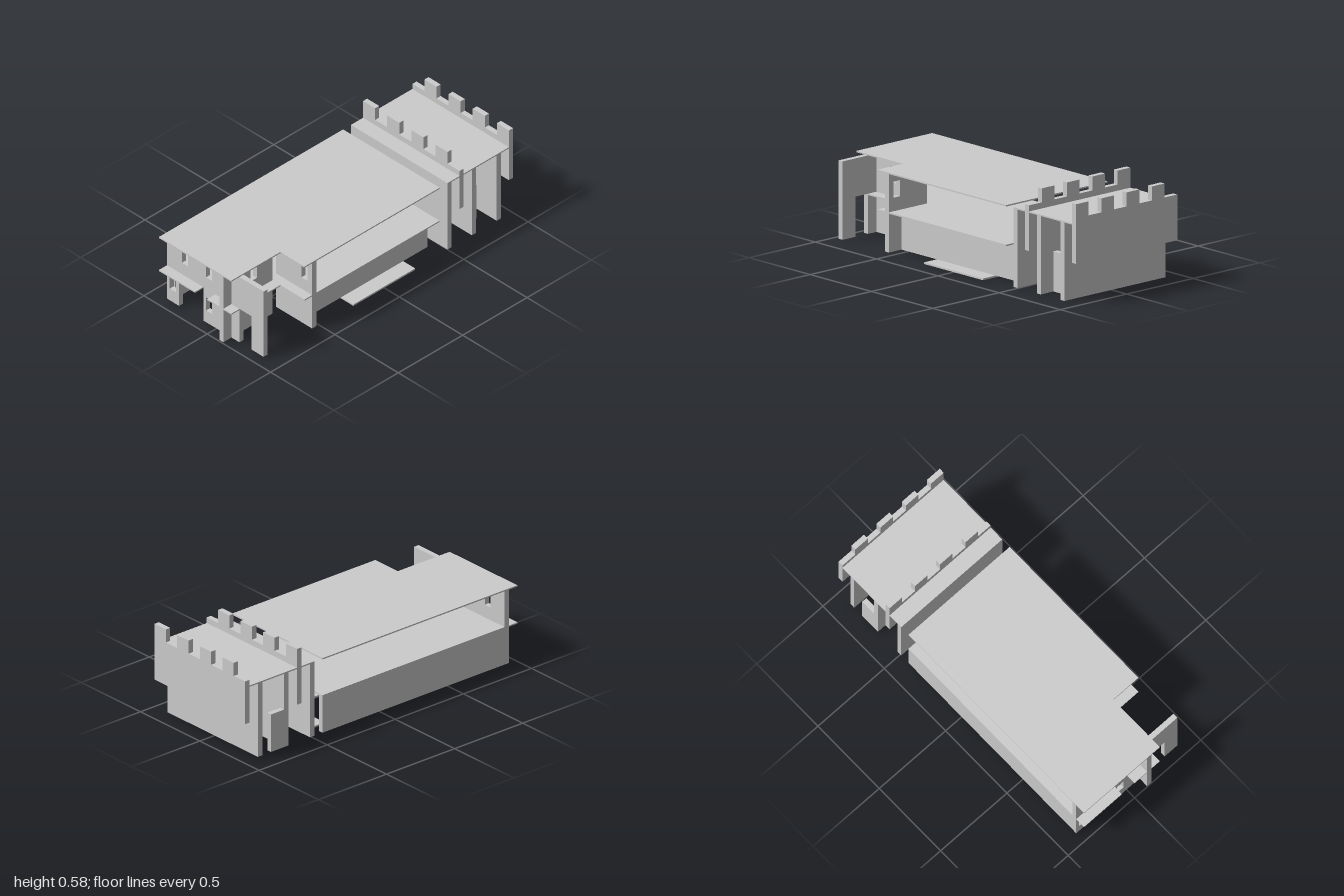
import * as THREE from 'three';

const T = 0.032;               // wall thickness
const BASE = 0.01, FLOOR = 0.24, ROOF = 0.467, SLAB = 0.008;
const EAVE = ROOF - SLAB;      // top of the full-height walls
const U = 0.0953, W = U * 4;   // grid module and half width

export function createModel() {
  const model = new THREE.Group();
  const material = new THREE.MeshStandardMaterial({ color: 0xcccccc, flatShading: true });

  const add = (parent, name, geometry) => {
    const mesh = new THREE.Mesh(geometry, material);
    mesh.name = name;
    parent.add(mesh);
    return mesh;
  };
  const polygon = (points) => points.map(([x, y]) => new THREE.Vector2(x, y));
  const rect = (x0, x1, y0, y1) => [[x0, y0], [x1, y0], [x1, y1], [x0, y1]];

  const extrude = (points, holes, depth) => {
    const shape = new THREE.Shape(polygon(points));
    holes.forEach((h) => shape.holes.push(new THREE.Path(polygon(h))));
    return new THREE.ExtrudeGeometry(shape, { depth, bevelEnabled: false });
  };
  // Wall across the building: outline in (x, y), front face at zFront
  const crossWall = (parent, name, zFront, points, holes = []) =>
    add(parent, name, extrude(points, holes, T).translate(0, 0, zFront - T));
  // Wall along the building: outline in (z, y), right-hand face at xMax
  const sideWall = (parent, name, xMax, points, holes = []) =>
    add(parent, name, extrude(points, holes, T).rotateY(-Math.PI / 2).translate(xMax, 0, 0));
  // Horizontal slab: outline in (x, z), top surface at yTop
  const slab = (parent, name, yTop, points, depth = SLAB) =>
    add(parent, name, extrude(points.map(([x, z]) => [x, -z]), [], depth)
      .rotateX(-Math.PI / 2).translate(0, yTop - depth, 0));

  const LOW = [0.09, 0.182], HIGH = [0.318, 0.41]; // window sill and head heights

  // --- Hall ---
  const hall = new THREE.Group();
  hall.name = 'hall';
  model.add(hall);

  slab(hall, 'hallRoof', ROOF, [
    [-W, -0.43], [W, -0.43], [W, 0.62], [2 * U, 0.62], [2 * U, 1], [-W, 1],
  ]);
  slab(hall, 'upperFloor', FLOOR, [
    [-W, -0.43], [W, -0.43], [W, 0.62], [2 * U, 0.62], [2 * U, 1],
    [0, 1], [0, 0.92], [-U, 0.92], [-U, 1], [-W, 1],
  ]);

  // Front wall with two doorways and four windows
  crossWall(hall, 'frontWall', 0.937, [
    [-W, BASE], [-3 * U, BASE], [-3 * U, FLOOR], [-U, FLOOR], [-U, BASE],
    [2 * U, BASE], [2 * U, FLOOR], [3 * U, FLOOR], [3 * U, BASE], [W, BASE],
    [W, EAVE], [-W, EAVE],
  ], [
    rect(-0.264, -0.215, ...HIGH), rect(-0.074, -0.025, ...HIGH),
    rect(-0.36, -0.311, ...LOW), rect(-0.074, -0.025, ...LOW),
  ]);
  // Wall beside the courtyard
  sideWall(hall, 'courtyardSideWall', U + T, rect(0.62, 1, BASE, EAVE), [
    rect(0.74, 0.79, ...LOW), rect(0.74, 0.79, ...HIGH),
  ]);
  crossWall(hall, 'courtyardRearWall', 0.56, rect(U, W, BASE, EAVE), [
    rect(0.296, 0.345, ...HIGH),
  ]);
  // Long ground-floor walls
  sideWall(hall, 'rightLongWall', 3 * U, rect(-0.43, 0.528, BASE, FLOOR - SLAB));
  sideWall(hall, 'leftLongWall', -W + T, rect(-0.43, 0.905, BASE, FLOOR - SLAB));

  // Ground plates
  [
    rect(-3 * U, -2 * U, 0.334, 0.62),
    rect(-3 * U, -2 * U, -0.05, 0.24),
    rect(-3 * U, 2 * U, -0.43, -0.334),
  ].forEach((p) => slab(hall, 'groundPlate', BASE, p, BASE));
  slab(hall, 'sidePlate', BASE, [
    [0, -0.24], [W, -0.24], [W, 0.24], [2 * U, 0.24], [2 * U, 0.334], [0, 0.334],
  ], BASE);

  // --- Gatehouse ---
  const gate = new THREE.Group();
  gate.name = 'gatehouse';
  model.add(gate);

  slab(gate, 'gateRoof', ROOF, rect(-W, W, -0.985, -0.49));
  [-0.49, -0.68, -0.873].forEach((z) =>
    crossWall(gate, 'gateWall', z, rect(-W, W, BASE, EAVE)));

  // Battlements: alternating merlons, the two rows offset by one module
  const battlement = (name, z, phase) => {
    const points = [[-W, FLOOR], [W, FLOOR]];
    for (let i = 7; i >= 0; i--) {
      const y = i % 2 === phase ? 0.582 : 0.502;
      points.push([-W + (i + 1) * U, y], [-W + i * U, y]);
    }
    crossWall(gate, name, z, points);
  };
  battlement('frontBattlement', -0.585, 0);
  battlement('rearBattlement', -0.968, 1);

  // Posts under the front battlement and short walls in the passage
  [-2 * U, 2 * U].forEach((x) =>
    crossWall(gate, 'post', -0.585, rect(x, x + U, BASE, FLOOR)));
  [-W + T, 3 * U].forEach((x) =>
    sideWall(gate, 'passageWall', x, rect(-0.808, -0.712, BASE, FLOOR)));

  return model;
}
